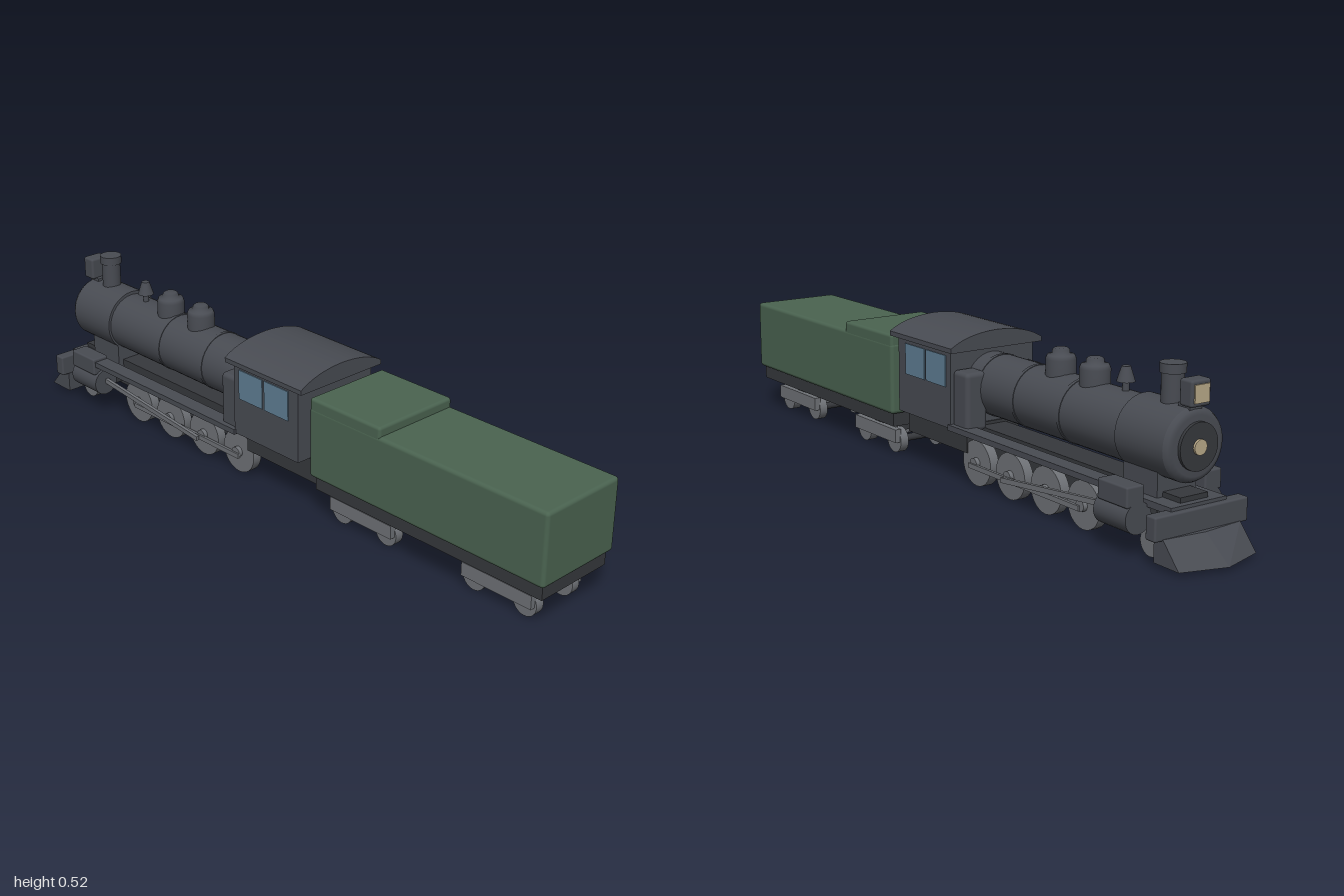
import * as THREE from 'three';
import { RoundedBoxGeometry } from 'three/addons/geometries/RoundedBoxGeometry.js';
import { ConvexGeometry } from 'three/addons/geometries/ConvexGeometry.js';

const paint = (color) => new THREE.MeshStandardMaterial({ color });

// Built along local x (front at -x), then the whole train is turned about y.
export function createModel() {
  const root = new THREE.Group();
  const train = new THREE.Group();
  train.name = 'train';
  train.rotation.y = -0.6435;
  root.add(train);

  const iron = paint(0x484b52), dark = paint(0x36383c), steel = paint(0x6e7176);
  const green = paint(0x4a6350), glass = paint(0x5f7d93), lamp = paint(0xb8a888);

  const add = (name, geometry, material, x = 0, y = 0, z = 0) => {
    const mesh = new THREE.Mesh(geometry, material);
    mesh.name = name;
    mesh.position.set(x, y, z);
    train.add(mesh);
    return mesh;
  };
  // Box given by its limits on each axis
  const box = (name, mat, x0, x1, y0, y1, z0, z1, r = 0) => {
    const size = [x1 - x0, y1 - y0, z1 - z0];
    const geo = r ? new RoundedBoxGeometry(...size, 2, r) : new THREE.BoxGeometry(...size);
    return add(name, geo, mat, (x0 + x1) / 2, (y0 + y1) / 2, (z0 + z1) / 2);
  };
  // Solid of revolution around the train's length: points are [radius, x]
  const latheX = (name, mat, points, y, z = 0) => {
    const geo = new THREE.LatheGeometry(points.map(([r, x]) => new THREE.Vector2(r, -x)).reverse(), 32);
    const mesh = add(name, geo.rotateZ(Math.PI / 2), mat, 0, y, z);
    mesh.material = mat.clone();
    mesh.material.side = THREE.DoubleSide;
    return mesh;
  };
  const rodX = (name, mat, r, x0, x1, y, z = 0) =>
    add(name, new THREE.CylinderGeometry(r, r, x1 - x0, 32).rotateZ(Math.PI / 2), mat, (x0 + x1) / 2, y, z);
  const upright = (name, mat, rTop, rBottom, y0, y1, x) =>
    add(name, new THREE.CylinderGeometry(rTop, rBottom, y1 - y0, 24), mat, x, (y0 + y1) / 2, 0);
  const disc = (name, mat, r, width, x, y, z) =>
    add(name, new THREE.CylinderGeometry(r, r, width, 28).rotateX(Math.PI / 2), mat, x, y, z);

  // Boiler and smokebox
  rodX('boiler', iron, 0.098, -0.85, -0.1, 0.308);
  for (const x of [-0.58, -0.36, -0.18]) rodX('boilerBand', iron, 0.1, x - 0.006, x + 0.006, 0.308);
  rodX('smokebox', iron, 0.106, -1.035, -0.84, 0.311);
  latheX('smokeboxFront', iron, [[0, -1.055], [0.085, -1.053], [0.099, -1.047], [0.106, -1.035]], 0.311);
  rodX('smokeboxDoor', dark, 0.068, -1.063, -1.05, 0.311);
  rodX('doorBoss', lamp, 0.022, -1.07, -1.06, 0.311);

  // Chimney, bell and domes
  upright('chimney', iron, 0.032, 0.032, 0.4, 0.51, -0.952);
  upright('chimneyRim', iron, 0.037, 0.037, 0.495, 0.522, -0.952);
  upright('bellStem', iron, 0.01, 0.01, 0.4, 0.44, -0.76);
  upright('bell', iron, 0.013, 0.027, 0.432, 0.476, -0.76);
  for (const x of [-0.625, -0.468]) {
    const profile = [[0.046, 0.385], [0.046, 0.445], [0.041, 0.457], [0.027, 0.46], [0.026, 0.472], [0.02, 0.477], [0, 0.478]];
    add('dome', new THREE.LatheGeometry(profile.map((p) => new THREE.Vector2(...p)), 24), iron, x);
  }

  // Headlight
  box('headlight', iron, -1.065, -1.015, 0.42, 0.495, -0.035, 0.035, 0.008);
  box('headlightBracket', iron, -1.045, -1.0, 0.395, 0.425, -0.022, 0.022);
  box('headlightLens', lamp, -1.069, -1.06, 0.432, 0.483, -0.026, 0.026);

  // Frame, saddle and pilot beam
  box('engineFrame', dark, -1.05, -0.1, 0.08, 0.175, -0.05, 0.05);
  box('rearFrame', dark, -0.13, 0.2, 0.095, 0.185, -0.1, 0.1);
  box('saddle', iron, -0.98, -0.84, 0.14, 0.24, -0.07, 0.07);
  box('frontDeck', iron, -1.07, -0.84, 0.14, 0.16, -0.1, 0.1);
  box('pilotBeam', iron, -1.085, -1.045, 0.08, 0.15, -0.168, 0.168, 0.006);
  box('drawbar', dark, 0.18, 0.26, 0.115, 0.145, -0.03, 0.03);

  // Wedge-shaped cowcatcher
  const wedge = [[-1.193, 0.012, 0], [-1.1, 0.085, 0]];
  for (const z of [-0.14, 0.14]) wedge.push([-1.05, 0.012, z], [-1.15, 0.012, z], [-1.05, 0.085, z], [-1.085, 0.085, z]);
  add('cowcatcher', new ConvexGeometry(wedge.map((p) => new THREE.Vector3(...p))), iron);

  // Cab with an arched roof
  box('cab', iron, -0.125, 0.168, 0.18, 0.435, -0.157, 0.157);
  const roof = new THREE.Shape();
  roof.moveTo(-0.172, 0.422);
  roof.lineTo(-0.172, 0.437);
  roof.quadraticCurveTo(-0.11, 0.477, 0, 0.479);
  roof.quadraticCurveTo(0.11, 0.477, 0.172, 0.437);
  roof.lineTo(0.172, 0.422);
  roof.closePath();
  const roofGeo = new THREE.ExtrudeGeometry(roof, { depth: 0.346, bevelEnabled: false, curveSegments: 10 });
  add('cabRoof', roofGeo.rotateY(Math.PI / 2), iron, -0.15);

  // Parts repeated on both sides of the engine
  for (const s of [-1, 1]) {
    const sideBox = (name, mat, x0, x1, y0, y1, zIn, zOut, r) =>
      box(name, mat, x0, x1, y0, y1, Math.min(s * zIn, s * zOut), Math.max(s * zIn, s * zOut), r);
    for (const x of [-0.1, 0.017]) sideBox('cabWindow', glass, x, x + 0.108, 0.308, 0.407, 0.15, 0.16);
    sideBox('fireboxSide', iron, -0.2, -0.12, 0.18, 0.365, 0.07, 0.148, 0.015);
    sideBox('runningBoard', iron, -0.86, -0.12, 0.176, 0.194, 0.112, 0.165);
    sideBox('valveChest', iron, -0.975, -0.85, 0.145, 0.205, 0.11, 0.172, 0.006);
    rodX('cylinder', iron, 0.046, -0.975, -0.84, 0.113, s * 0.13);
    sideBox('cylinderMount', dark, -0.96, -0.85, 0.09, 0.15, 0.04, 0.13);

    // Driving wheels with hubs
    for (let i = 0; i < 4; i++) {
      const x = -0.7 + i * 0.174;
      disc('drivingWheel', steel, 0.073, 0.032, x, 0.073, s * 0.08);
      disc('wheelHub', steel, 0.018, 0.02, x, 0.073, s * 0.1);
    }
    disc('pilotWheel', steel, 0.041, 0.028, -0.984, 0.041, s * 0.08);

    // Coupling rod and connecting rod
    sideBox('couplingRod', steel, -0.7, -0.16, 0.058, 0.074, 0.106, 0.116);
    const dx = 0.5, dy = -0.05;
    const rod = add('connectingRod', new THREE.BoxGeometry(Math.hypot(dx, dy), 0.016, 0.012), steel, -0.6, 0.092, s * 0.126);
    rod.rotation.z = Math.atan2(dy, dx);

    // Tender trucks
    for (const x of [0.392, 0.926]) {
      sideBox('truckFrame', steel, x - 0.128, x + 0.128, 0.04, 0.085, 0.09, 0.112);
      for (const d of [-0.093, 0.093]) disc('truckWheel', steel, 0.042, 0.03, x + d, 0.042, s * 0.08);
    }
  }

  // Axles and truck bolsters
  for (const x of [-0.984, -0.7, -0.526, -0.352, -0.178])
    disc('axle', dark, 0.014, 0.16, x, x < -0.9 ? 0.041 : 0.073, 0);
  for (const x of [0.392, 0.926]) {
    box('truckBolster', dark, x - 0.03, x + 0.03, 0.05, 0.115, -0.095, 0.095);
    for (const d of [-0.093, 0.093]) disc('axle', dark, 0.012, 0.16, x + d, 0.042, 0);
  }

  // Tender
  box('tenderFrame', dark, 0.23, 1.11, 0.108, 0.16, -0.14, 0.14);
  box('tenderBody', green, 0.214, 1.123, 0.153, 0.388, -0.156, 0.156, 0.012);
  box('coalBunker', green, 0.216, 0.506, 0.36, 0.418, -0.155, 0.155, 0.01);

  return root;
}
